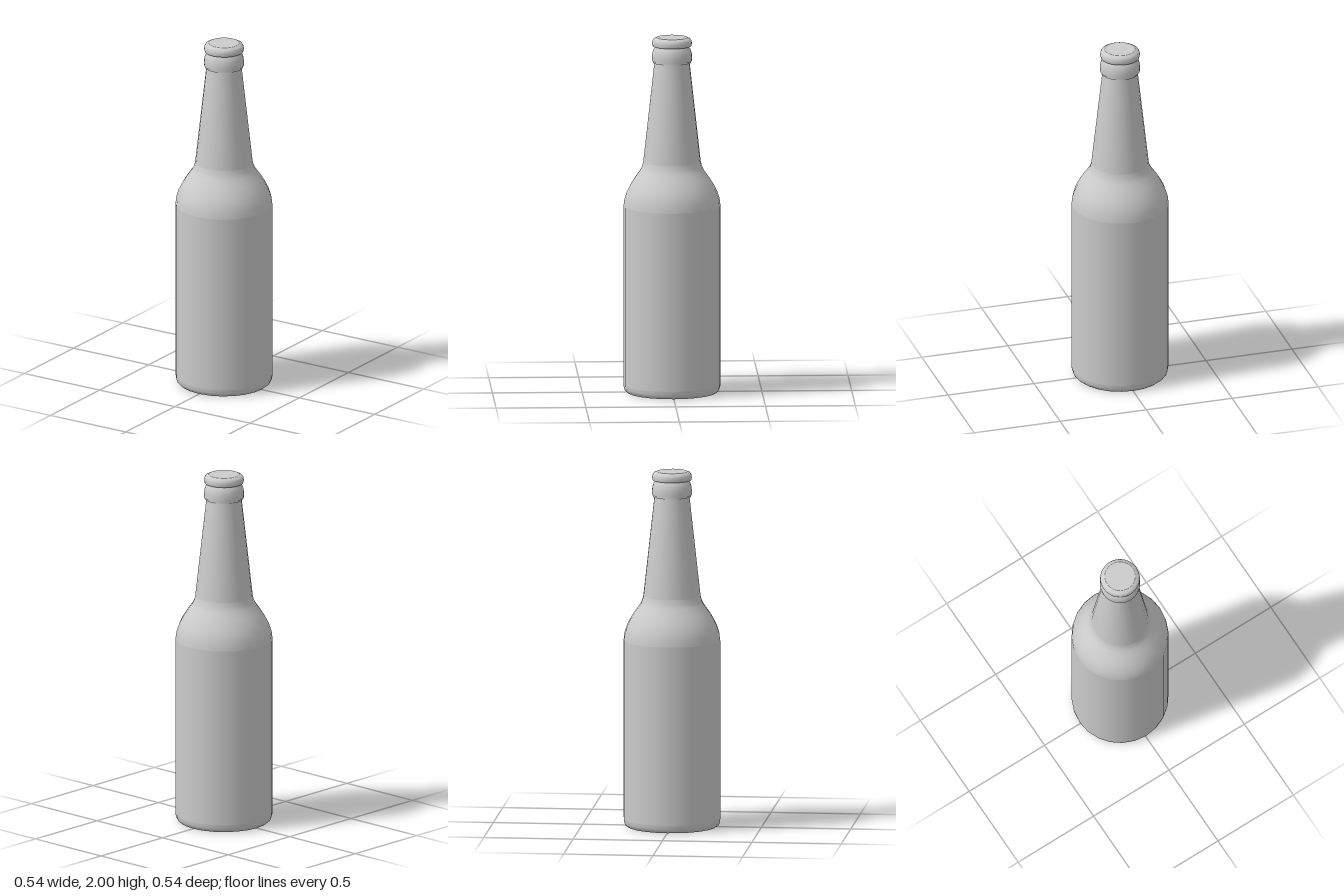
import * as THREE from 'three';

const SIDES = 24;

export function createModel() {
  const bottle = new THREE.Group();
  bottle.name = 'bottle';
  const material = new THREE.MeshStandardMaterial({ color: 0xcccccc });

  // Turns a [radius, height] profile, listed bottom to top; separate parts keep sharp seams
  function turn(name, profile) {
    const points = profile.map(([r, y]) => new THREE.Vector2(r, y));
    const mesh = new THREE.Mesh(new THREE.LatheGeometry(points, SIDES), material);
    mesh.name = name;
    bottle.add(mesh);
  }

  // Flat base and rounded foot
  turn('base', [[0, 0], [0.25, 0]]);
  turn('foot', [[0.25, 0], [0.262, 0.01], [0.268, 0.025], [0.27, 0.045]]);

  // Straight wall and curved shoulder
  turn('body', [[0.27, 0.045], [0.27, 1.05]]);
  turn('shoulder', [
    [0.27, 1.05], [0.265, 1.09], [0.252, 1.13], [0.232, 1.17],
    [0.207, 1.21], [0.178, 1.25], [0.166, 1.275], [0.16, 1.3],
  ]);

  // Tapered neck
  turn('neck', [[0.16, 1.3], [0.098, 1.86]]);

  // Rounded collar with a small step beneath it
  turn('collarStepUnderside', [[0.098, 1.858], [0.106, 1.858]]);
  turn('collarStep', [[0.106, 1.858], [0.106, 1.868]]);
  turn('collarUnderside', [[0.106, 1.868], [0.111, 1.868]]);
  turn('collar', [
    [0.111, 1.868], [0.112, 1.89], [0.109, 1.915], [0.102, 1.935], [0.091, 1.952],
  ]);

  // Cap with an overhanging rim and flat top
  turn('capUnderside', [[0.088, 1.952], [0.108, 1.952]]);
  turn('capRim', [
    [0.108, 1.952], [0.111, 1.966], [0.109, 1.981], [0.102, 1.992], [0.085, 2],
  ]);
  turn('capTop', [[0.085, 2], [0, 2]]);

  return bottle;
}
